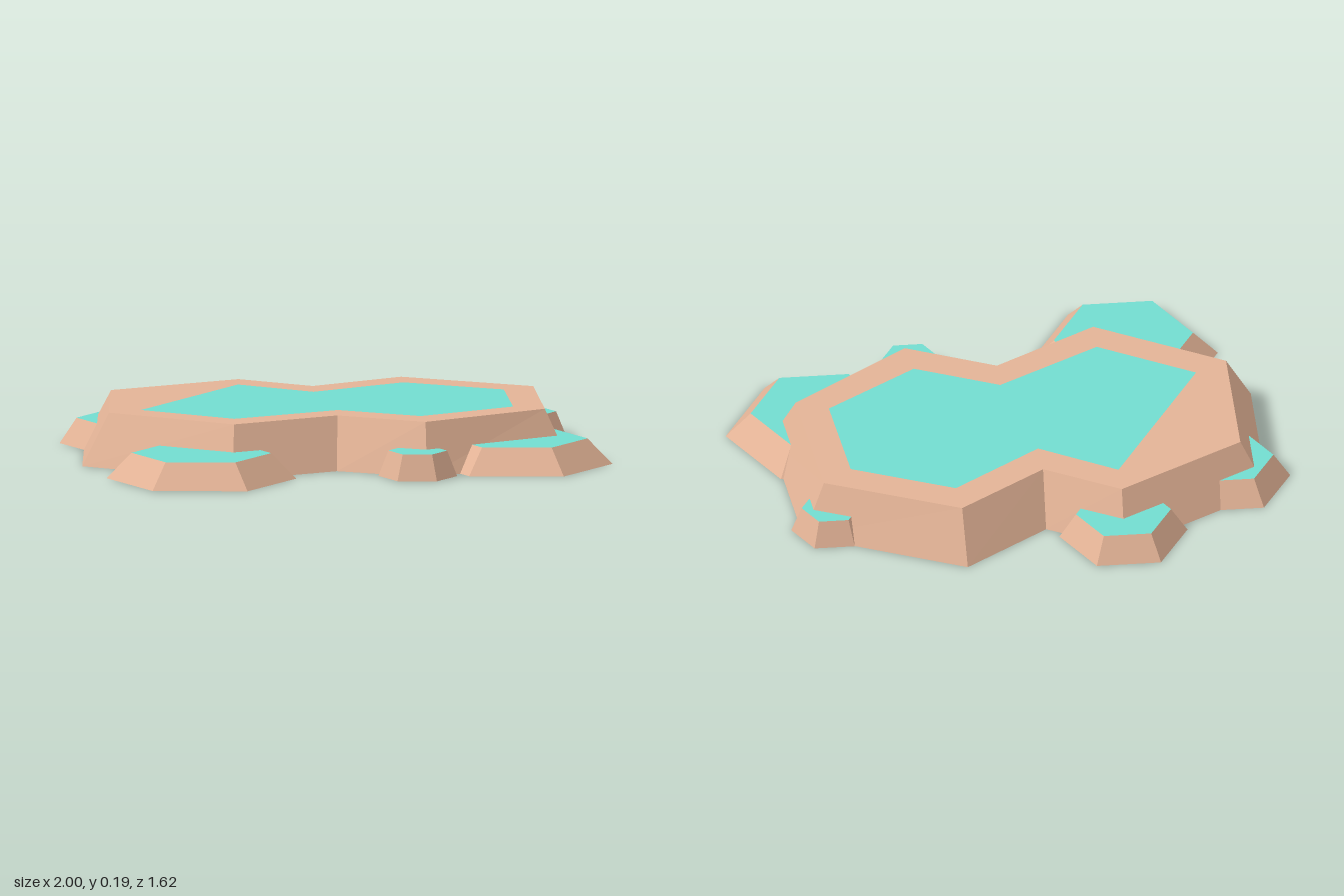
import * as THREE from 'three';

const MOUND_H = 0.187;
const POOL_H = 0.093;

// Outlines as [x, z], running along the front, up the right and round the back
const BASE = [[-0.91, 0.235], [-0.36, 0.55], [0.01, 0.335], [0.337, 0.47], [0.845, 0.115],
  [0.785, -0.52], [0.215, -0.775], [-0.09, -0.56], [-0.36, -0.71], [-0.91, -0.395]];
const RIM = [[-0.815, 0.18], [-0.36, 0.445], [0.01, 0.23], [0.33, 0.375], [0.755, 0.065],
  [0.705, -0.46], [0.225, -0.67], [-0.09, -0.45], [-0.36, -0.605], [-0.815, -0.345]];
const WATER = [[-0.7, 0.115], [-0.36, 0.315], [0.01, 0.105], [0.31, 0.24], [0.64, 0.015],
  [0.6, -0.38], [0.235, -0.54], [-0.085, -0.315], [-0.36, -0.48]];

// Small hexagonal pools: name, x, z, base radius, top radius
const POOLS = [
  ['frontLeftSidePool', -0.476, 0.51, 0.342, 0.252],
  ['frontSmallPool', 0.303, 0.442, 0.142, 0.106],
  ['rightSidePool', 0.659, 0.15, 0.341, 0.251],
  ['backSmallPool', 0.68, -0.475, 0.145, 0.107],
  ['backSidePool', -0.365, -0.612, 0.232, 0.172],
  ['leftSidePool', -0.77, -0.3, 0.23, 0.169],
];

const rock = new THREE.MeshStandardMaterial({ color: 0xe3b396, flatShading: true });
const water = new THREE.MeshStandardMaterial({ color: 0x72dccf, flatShading: true });

// Flat polygon at height y, facing up or down, with an optional hole
function flatFace(outline, y, up = true, hole = null) {
  const s = up ? -1 : 1;
  const pts = (list) => list.map(([x, z]) => new THREE.Vector2(x, s * z));
  const shape = new THREE.Shape(pts(outline));
  if (hole) shape.holes.push(new THREE.Path(pts(hole)));
  return new THREE.ShapeGeometry(shape).rotateX(s * Math.PI / 2).translate(0, y, 0);
}

// Sloping wall between a lower and an upper outline
function wall(low, lowY, high, highY) {
  const pos = [];
  low.forEach(([x, z], i) => {
    const j = (i + 1) % low.length;
    const a = [x, lowY, z], b = [low[j][0], lowY, low[j][1]];
    const c = [high[j][0], highY, high[j][1]], d = [high[i][0], highY, high[i][1]];
    pos.push(...a, ...b, ...c, ...a, ...c, ...d);
  });
  const g = new THREE.BufferGeometry();
  g.setAttribute('position', new THREE.Float32BufferAttribute(pos, 3));
  g.computeVertexNormals();
  return g;
}

export function createModel() {
  const model = new THREE.Group();
  model.name = 'terracedPools';
  const add = (parent, name, geometry, material) => {
    const mesh = new THREE.Mesh(geometry, material);
    mesh.name = name;
    parent.add(mesh);
    return mesh;
  };

  // Main rock terrace with its water set into the rim
  const terrace = new THREE.Group();
  terrace.name = 'mainTerrace';
  model.add(terrace);
  add(terrace, 'terraceWall', wall(BASE, 0, RIM, MOUND_H), rock);
  add(terrace, 'terraceRim', flatFace(RIM, MOUND_H, true, WATER), rock);
  add(terrace, 'terraceBase', flatFace(BASE, 0, false), rock);
  add(terrace, 'mainWater', flatFace(WATER, MOUND_H), water);

  // Lower side pools: tapered hexagons (side, water top, bottom)
  for (const [name, x, z, base, top] of POOLS) {
    const hex = new THREE.CylinderGeometry(top, base, POOL_H, 6, 1, false, Math.PI / 2);
    add(model, name, hex, [rock, water, rock]).position.set(x, POOL_H / 2, z);
  }
  return model;
}
